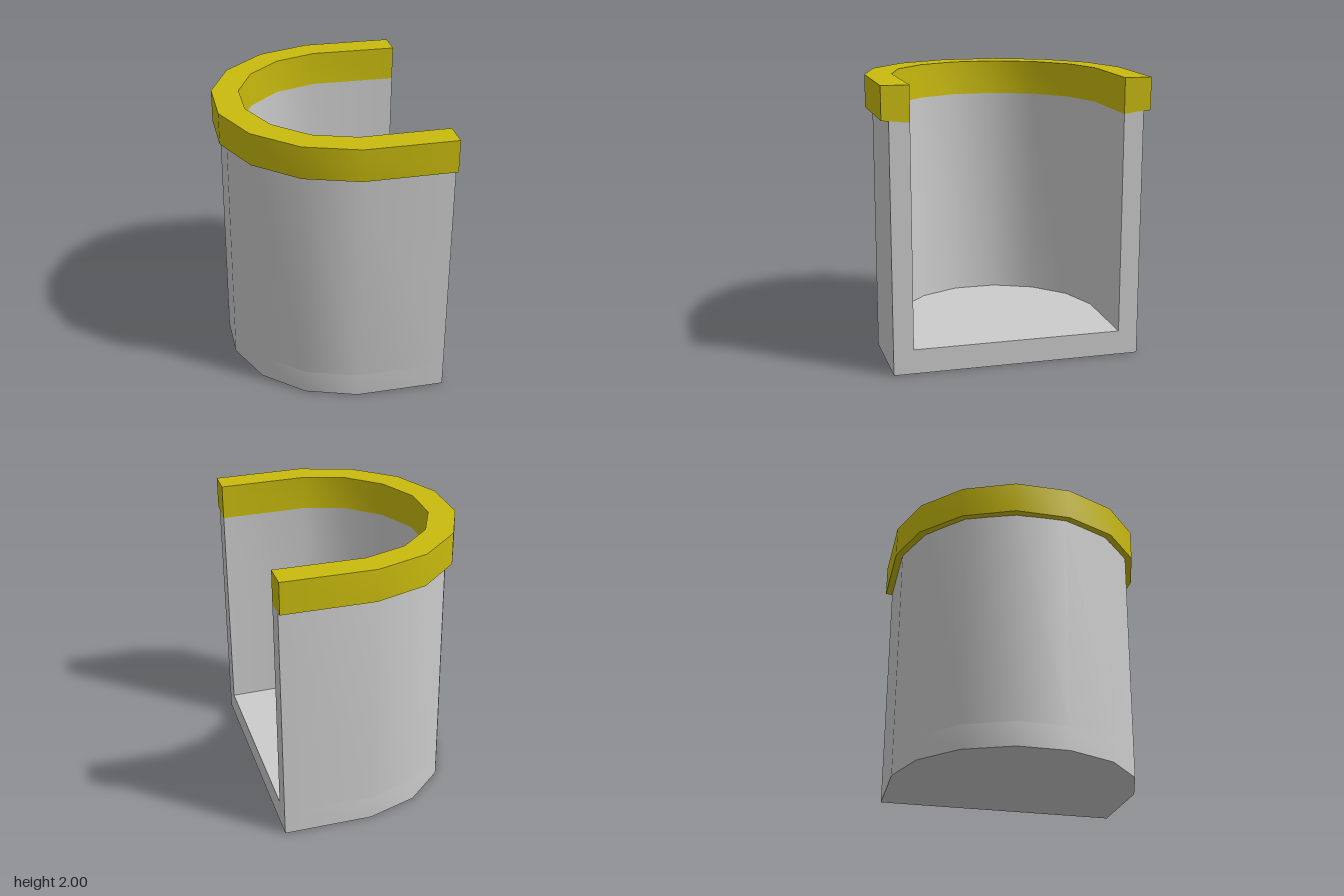
import * as THREE from 'three';
import { toCreasedNormals } from 'three/addons/utils/BufferGeometryUtils.js';

// Half outlines (x, z) from the open end to the rounded end
const RIM = [[0.74, 0.94], [0.09, 0.947], [-0.285, 0.825], [-0.58, 0.56], [-0.74, 0.2]];
const WALL = [[0.74, 0.89], [0.1, 0.897], [-0.262, 0.78], [-0.54, 0.53], [-0.69, 0.185]];
const INNER = [[0.74, 0.748], [0.11, 0.757], [-0.19, 0.658], [-0.42, 0.446], [-0.55, 0.16]];

const FLOOR_Y = 0.175, SEAM_Y = 1.77, TOP_Y = 2, SEAM_DROP = 0.02;

// Mirrors a half outline across z = 0 into a full U
const mirrored = (half) => [...half, ...half.map(([x, z]) => [x, -z]).reverse()];

// Extrudes an outline upward from y0 to y1
function prism(points, y0, y1) {
  const shape = new THREE.Shape(points.map(([x, z]) => new THREE.Vector2(x, z)));
  const geometry = new THREE.ExtrudeGeometry(shape, { depth: y1 - y0, bevelEnabled: false });
  return geometry.rotateX(-Math.PI / 2).translate(0, y0, 0);
}

// U-shaped band between an outer outline and the inner one
const band = (outer, y0, y1) =>
  prism([...mirrored(outer), ...mirrored(INNER).reverse()], y0, y1);

// Slopes the seam slightly down toward the inside
function slopeSeam(geometry) {
  const p = geometry.attributes.position;
  for (let i = 0; i < p.count; i++) {
    const onInner = INNER.some(([x, z]) =>
      Math.hypot(p.getX(i) - x, Math.abs(p.getZ(i)) - z) < 0.005);
    if (onInner && Math.abs(p.getY(i) - SEAM_Y) < 0.001) p.setY(i, SEAM_Y - SEAM_DROP);
  }
  return geometry;
}

export function createModel() {
  const group = new THREE.Group();
  const grey = new THREE.MeshStandardMaterial({ color: 0xcccccc });
  const olive = new THREE.MeshStandardMaterial({ color: 0xc8ba0e });

  const add = (name, geometry, material) => {
    const mesh = new THREE.Mesh(toCreasedNormals(geometry, 0.6), material);
    mesh.name = name;
    group.add(mesh);
  };

  // Grey tub, open on the +x side
  add('floor', prism(mirrored(WALL), 0, FLOOR_Y), grey);
  add('wall', slopeSeam(band(WALL, FLOOR_Y, SEAM_Y)), grey);
  // Overhanging coloured rim
  add('rim', slopeSeam(band(RIM, SEAM_Y, TOP_Y)), olive);

  return group;
}
